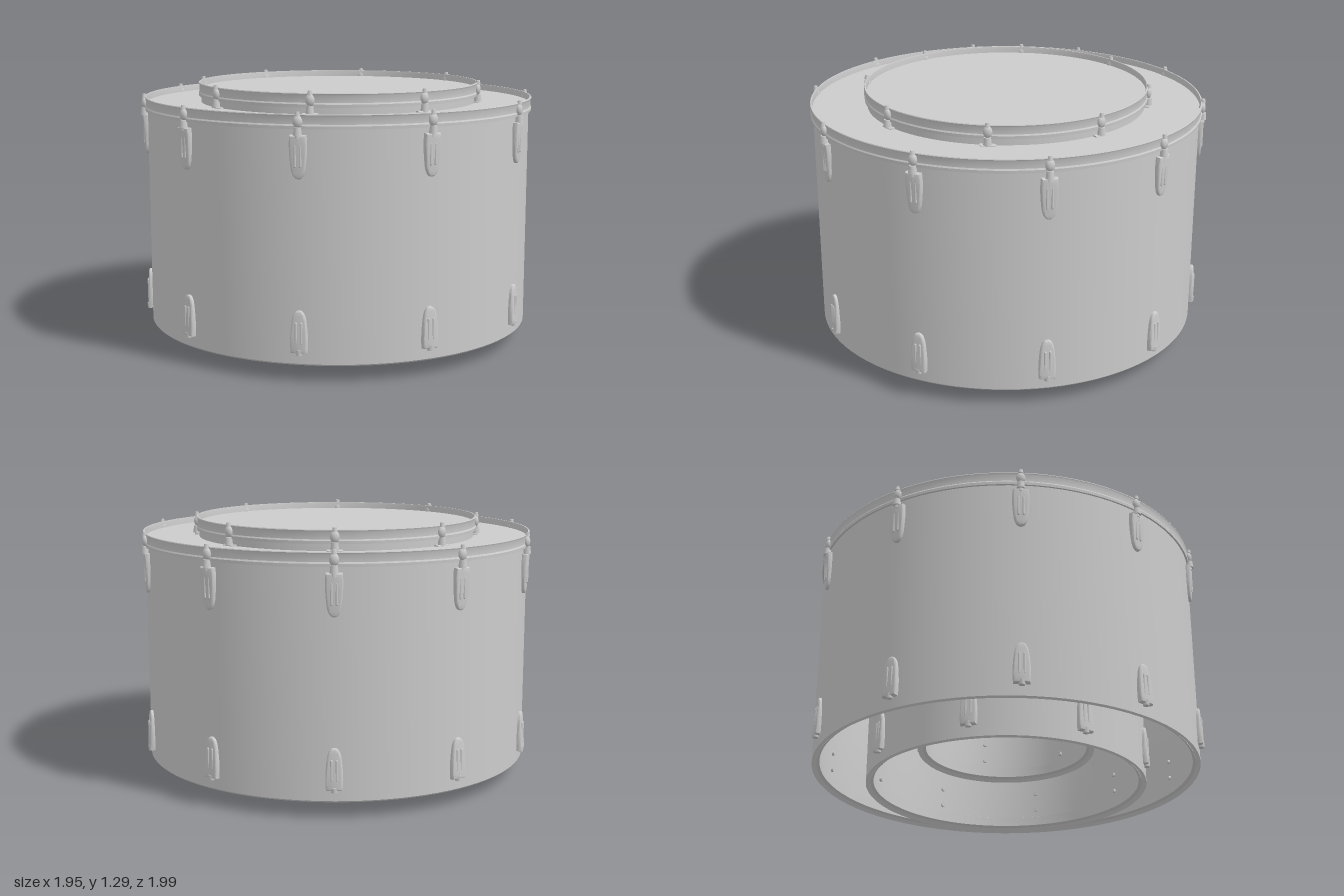
import * as THREE from 'three';
import { toCreasedNormals } from 'three/addons/utils/BufferGeometryUtils.js';

const grey = new THREE.MeshStandardMaterial({ color: 0xcccccc, side: THREE.DoubleSide });

function add(parent, name, geometry, x = 0, y = 0, z = 0) {
  const m = new THREE.Mesh(geometry, grey);
  m.name = name;
  m.position.set(x, y, z);
  parent.add(m);
  return m;
}

// Closed profile of [radius, height] pairs spun round the y axis
function ring(points) {
  const pts = [...points, points[0]].map(([r, y]) => new THREE.Vector2(r, y));
  return toCreasedNormals(new THREE.LatheGeometry(pts, 96), 0.5);
}

// Tapered lug casing, wide at the top (y = 0) and rounded at the lower tip
function lugCasing() {
  const s = new THREE.Shape();
  s.moveTo(-0.03, 0);
  s.lineTo(0.03, 0);
  s.quadraticCurveTo(0.036, -0.05, 0.025, -0.14);
  s.quadraticCurveTo(0.018, -0.18, 0, -0.18);
  s.quadraticCurveTo(-0.018, -0.18, -0.025, -0.14);
  s.quadraticCurveTo(-0.036, -0.05, -0.03, 0);
  const g = new THREE.ExtrudeGeometry(s, {
    depth: 0.012, bevelThickness: 0.012, bevelSize: 0.008, bevelSegments: 3, curveSegments: 6,
  });
  // The casing grows thinner towards its tip
  const p = g.attributes.position;
  for (let i = 0; i < p.count; i++) {
    if (p.getZ(i) > 0) p.setZ(i, p.getZ(i) * (1 + 0.35 * p.getY(i) / 0.18));
  }
  g.computeVertexNormals();
  return toCreasedNormals(g, 0.6);
}

const casing = lugCasing();
const ridge = new THREE.CapsuleGeometry(0.006, 0.09, 4, 8);
const socket = new THREE.CylinderGeometry(0.014, 0.016, 0.025, 12);
const bolt = new THREE.CylinderGeometry(0.011, 0.011, 0.012, 10).rotateX(Math.PI / 2);
const rod = new THREE.CylinderGeometry(0.008, 0.008, 0.13, 10);
const collar = new THREE.CylinderGeometry(0.016, 0.02, 0.035, 12);
const knob = new THREE.CylinderGeometry(0.009, 0.013, 0.02, 8);
const ear = new THREE.SphereGeometry(0.022, 14, 10).scale(1, 1.3, 0.75);

function lug(name) {
  const g = new THREE.Group();
  g.name = name;
  add(g, 'lugCasing', casing);
  for (const x of [-0.012, 0.012]) add(g, 'lugRidge', ridge, x, -0.085, 0.018);
  add(g, 'rodSocket', socket, 0, 0.005, 0.012);
  for (const y of [-0.04, -0.13]) add(g, 'innerBolt', bolt, 0, y, -0.035);
  return g;
}

// One drum: open at the bottom, a head and a hoop at the top
function drum(name, { radius: r, bottom, top, lugs }) {
  const g = new THREE.Group();
  g.name = name;
  const head = top - 0.035;
  const t = 0.025;

  // Shell with a bevelled bearing edge and reinforcement rings inside
  add(g, 'shell', ring([
    [r - 0.008, bottom], [r, bottom + 0.008], [r, head - 0.006], [r - 0.02, head - 0.003],
    [r - t, head - 0.02], [r - t, bottom + 0.02],
  ]));
  for (const y of [bottom + 0.014, head - 0.075]) {
    add(g, 'reinforcementRing', ring([
      [r - t + 0.002, y], [r - t + 0.002, y + 0.06], [r - t - 0.012, y + 0.055], [r - t - 0.012, y + 0.008],
    ]));
  }

  add(g, 'drumHead', new THREE.CylinderGeometry(r + 0.006, r + 0.006, 0.006, 96), 0, head, 0);

  // Flanged hoop
  add(g, 'hoop', ring([
    [r + 0.003, top - 0.066], [r + 0.012, top - 0.066], [r + 0.013, top - 0.052],
    [r + 0.009, top - 0.045], [r + 0.009, top - 0.012], [r + 0.013, top - 0.004],
    [r + 0.011, top], [r + 0.005, top], [r + 0.003, top - 0.01],
  ]));

  for (let i = 0; i < lugs; i++) {
    const station = new THREE.Group();
    station.name = 'tensionStation';
    station.rotation.y = i * Math.PI * 2 / lugs;
    g.add(station);

    const upper = lug('upperLug');
    upper.position.set(0, top - 0.1, r);
    station.add(upper);

    const lower = lug('lowerLug');
    lower.position.set(0, bottom + 0.07, r);
    lower.rotation.z = Math.PI;
    station.add(lower);

    add(station, 'tensionRod', rod, 0, top - 0.06, r + 0.016);
    add(station, 'hoopEar', ear, 0, top - 0.033, r + 0.014);
    add(station, 'rodCollar', collar, 0, top - 0.075, r + 0.016);
    add(station, 'rodHead', knob, 0, top + 0.002, r + 0.016);
  }
  return g;
}

export function createModel() {
  const model = new THREE.Group();
  model.name = 'nestedDrums';
  model.add(
    drum('outerDrum', { radius: 0.96, bottom: 0.075, top: 1.215, lugs: 10 }),
    drum('middleDrum', { radius: 0.692, bottom: 0, top: 1.282, lugs: 8 }),
    drum('innerDrum', { radius: 0.44, bottom: 0.19, top: 1.1, lugs: 6 }),
  );
  return model;
}
